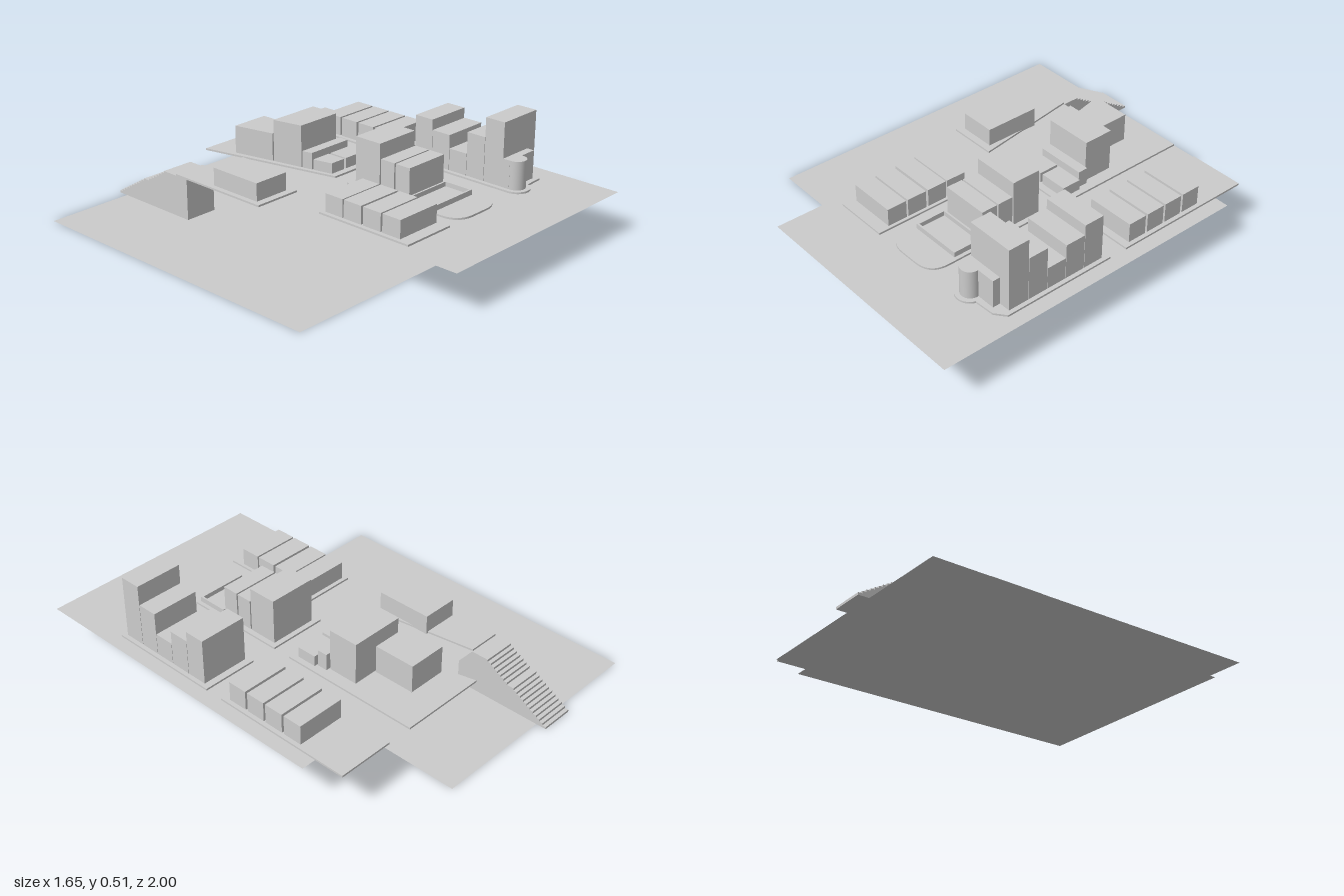
import * as THREE from 'three';

const material = new THREE.MeshStandardMaterial({ color: 0xcccccc, side: THREE.DoubleSide });
const DECK = 0.2;
const PAD_TOP = 0.209;

// Shape on the ground from [x, z] points
function planShape(points) {
  return new THREE.Shape(points.map(([x, z]) => new THREE.Vector2(x, -z)));
}

function addMesh(parent, name, geometry) {
  const mesh = new THREE.Mesh(geometry, material);
  mesh.name = name;
  parent.add(mesh);
  return mesh;
}

// Upright prism over a plan shape
function addPrism(parent, name, shape, y0, y1) {
  const geo = new THREE.ExtrudeGeometry(shape, { depth: y1 - y0, bevelEnabled: false, curveSegments: 10 });
  geo.rotateX(-Math.PI / 2);
  return addMesh(parent, name, geo.translate(0, y0, 0));
}

function addBox(parent, name, x0, x1, z0, z1, y0, y1) {
  const geo = new THREE.BoxGeometry(x1 - x0, y1 - y0, z1 - z0);
  return addMesh(parent, name, geo.translate((x0 + x1) / 2, (y0 + y1) / 2, (z0 + z1) / 2));
}

function addSheet(parent, name, x0, x1, z0, z1, y) {
  const geo = new THREE.PlaneGeometry(x1 - x0, z1 - z0).rotateX(-Math.PI / 2);
  return addMesh(parent, name, geo.translate((x0 + x1) / 2, y, (z0 + z1) / 2));
}

// Row of houses given as [z0, z1, top]
function addRow(parent, name, x0, x1, houses) {
  const row = new THREE.Group();
  row.name = name;
  houses.forEach(([z0, z1, top]) => addBox(row, 'house', x0, x1, z0, z1, DECK, top));
  parent.add(row);
}

export function createModel() {
  const model = new THREE.Group();
  model.name = 'townBlock';

  // Two ground levels
  addSheet(model, 'lowerGround', -0.83, 0.33, -0.95, 0.63, 0);
  addSheet(model, 'upperGround', -0.33, 0.82, -0.58, 1, DECK);

  // Straight-edged pavements
  const pavements = {
    backLeftPavement: [[0.475, -0.73], [0.75, -0.73], [0.75, -0.03], [0.475, -0.03]],
    backMiddlePavement: [[-0.08, -0.73], [0.35, -0.73], [0.35, -0.03], [0.08, -0.03]],
    backRightPavement: [[-0.4, -0.58], [-0.24, -0.58], [-0.16, -0.04], [-0.4, -0.04]],
    frontRightPavement: [[-0.27, 0.2], [0, 0.2], [0, 0.7], [-0.27, 0.7]],
  };
  for (const [name, points] of Object.entries(pavements)) {
    addPrism(model, name, planShape(points), DECK, PAD_TOP);
  }

  // Pavement with rounded front corners around the pool
  const poolPad = new THREE.Shape();
  poolPad.moveTo(0.06, -0.06);
  poolPad.lineTo(0.06, -0.6);
  poolPad.quadraticCurveTo(0.06, -0.7, 0.16, -0.7);
  poolPad.lineTo(0.25, -0.7);
  poolPad.quadraticCurveTo(0.35, -0.7, 0.35, -0.6);
  poolPad.lineTo(0.35, -0.06);
  addPrism(model, 'poolPavement', poolPad, DECK, PAD_TOP);

  // Pavement with a round lobe under the turret
  const towerPad = new THREE.Shape();
  towerPad.moveTo(0.475, -0.06);
  towerPad.lineTo(0.475, -0.645);
  towerPad.absarc(0.54, -0.645, 0.065, Math.PI, Math.PI * 1.9, false);
  towerPad.lineTo(0.7, -0.66);
  towerPad.lineTo(0.75, -0.62);
  towerPad.lineTo(0.75, -0.06);
  addPrism(model, 'towerPavement', towerPad, DECK, PAD_TOP);

  // House rows
  const equal = (starts, depth, top) => starts.map((z) => [z, z + depth, top]);
  addRow(model, 'backLeftRow', 0.495, 0.73, equal([-0.48, -0.373, -0.267, -0.16], 0.095, 0.303));
  addRow(model, 'frontRightRow', -0.25, -0.015, equal([0.22, 0.325, 0.435, 0.542], 0.098, 0.295));
  addRow(model, 'frontMiddleRow', 0.09, 0.325, [[0.085, 0.228, 0.43], [0.235, 0.312, 0.36], [0.32, 0.4, 0.36]]);
  addRow(model, 'towerRow', 0.495, 0.73, [
    [0.093, 0.193, 0.43], [0.195, 0.295, 0.38], [0.297, 0.395, 0.315], [0.397, 0.495, 0.42], [0.497, 0.6, 0.515],
  ]);
  addBox(model, 'backRightHouse', -0.375, -0.195, -0.35, -0.075, DECK, 0.295);

  // Turret and annex in front of the tower
  const turret = new THREE.CylinderGeometry(0.045, 0.045, 0.145, 32);
  addMesh(model, 'turret', turret.translate(0.54, DECK + 0.0725, 0.643));
  addBox(model, 'annex', 0.495, 0.675, 0.6, 0.637, DECK, 0.345);

  // Buildings cut along the slanted street: z0, z1, left x at z0 and z1, right x, top
  const slanted = [
    [-0.583, -0.378, -0.022, 0.022, 0.17, 0.345],
    [-0.372, -0.223, 0.024, 0.055, 0.29, 0.413],
    [-0.217, -0.167, 0.056, 0.067, 0.308, 0.29],
    [-0.16, -0.063, 0.069, 0.09, 0.172, 0.26],
  ];
  slanted.forEach(([z0, z1, xa, xb, xr, top]) => {
    addPrism(model, 'slantedBuilding', planShape([[xa, z0], [xr, z0], [xr, z1], [xb, z1]]), DECK, top);
  });
  addBox(model, 'cornerHouse', 0.185, 0.322, -0.16, -0.063, DECK, 0.26);

  // Sunken pool with a raised rim
  addBox(model, 'poolBasin', 0.077, 0.33, 0.408, 0.556, 0.09, 0.212);
  const rim = planShape([[0.075, 0.406], [0.332, 0.406], [0.332, 0.558], [0.075, 0.558]]);
  rim.holes.push(planShape([[0.084, 0.415], [0.323, 0.415], [0.323, 0.549], [0.084, 0.549]]));
  addPrism(model, 'poolRim', rim, DECK, 0.234);

  // Stairs with a short landing partway up
  const stairs = new THREE.Shape();
  const steps = 18, landingAfter = 11, rise = DECK / steps, tread = 0.0185;
  let z = -1;
  stairs.moveTo(z, 0);
  for (let i = 1; i <= steps; i++) {
    stairs.lineTo(z, i * rise);
    z += i === landingAfter ? tread * 2 : tread;
    if (i < steps) stairs.lineTo(z, i * rise);
  }
  stairs.lineTo(-0.51, DECK);
  stairs.lineTo(-0.51, 0);
  const stairGeo = new THREE.ExtrudeGeometry(stairs, { depth: 0.163, bevelEnabled: false });
  addMesh(model, 'stairs', stairGeo.rotateY(-Math.PI / 2).translate(-0.236, 0, 0));

  return model;
}
